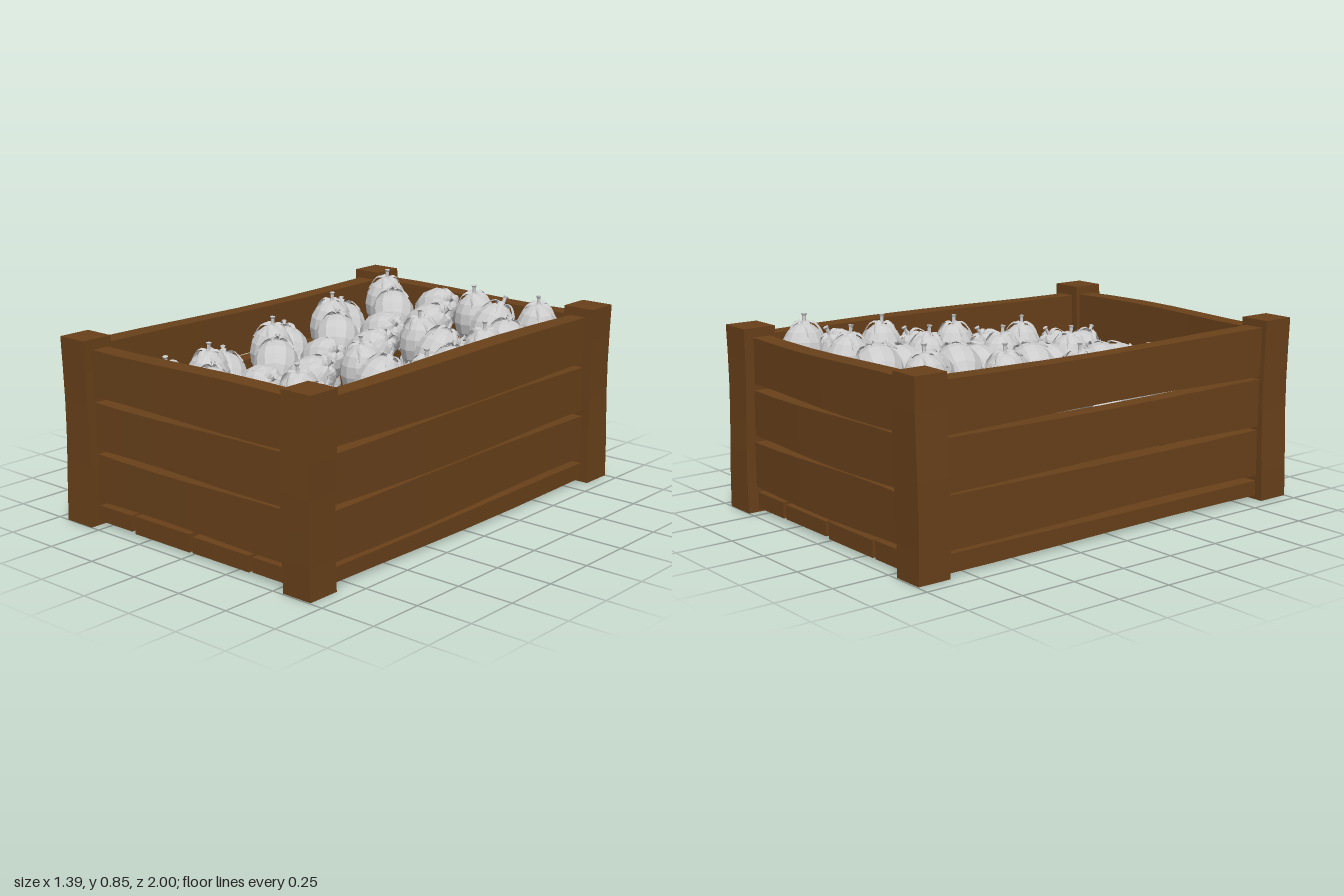
import * as THREE from 'three';
import { mergeGeometries } from 'three/addons/utils/BufferGeometryUtils.js';

const wood = new THREE.MeshStandardMaterial({ color: 0x69411a, flatShading: true });
const skin = new THREE.MeshStandardMaterial({ color: 0xcccccc, flatShading: true });
const leaf = new THREE.MeshStandardMaterial({ color: 0xcccccc, flatShading: true, side: THREE.DoubleSide });

// Rough-sawn board: a box whose cross-section swells and sways along its longest axis
function board(name, size, pos, seed, wobble = 0.006) {
  const axis = size.indexOf(Math.max(...size));
  const segs = [1, 1, 1];
  segs[axis] = 6;
  const g = new THREE.BoxGeometry(...size, ...segs);
  const p = g.attributes.position;
  for (let i = 0; i < p.count; i++) {
    const v = [p.getX(i), p.getY(i), p.getZ(i)];
    const t = v[axis] / size[axis];
    for (let a = 0; a < 3; a++) {
      if (a === axis) continue;
      const side = Math.sign(v[a]);
      v[a] += wobble * Math.sin(t * 5 + seed * 1.7 + side * (1 + a));
    }
    p.setXYZ(i, ...v);
  }
  const m = new THREE.Mesh(g, wood);
  m.name = name;
  m.position.set(...pos);
  return m;
}

// Fruit body: lobed egg with flat facets
const R = 0.1, H = 0.122;
function bodyGeometry() {
  const pts = [];
  for (let i = 0; i <= 8; i++) {
    const a = -Math.PI / 2 + (Math.PI * i) / 8;
    pts.push(new THREE.Vector2(Math.max(0, R * Math.cos(a)), H * Math.sin(a)));
  }
  return new THREE.LatheGeometry(pts, 13);
}

// Calyx leaves: tapered strips that arch over the top of the fruit
function calyxGeometry() {
  const leaves = [];
  for (let k = 0; k < 5; k++) {
    const g = new THREE.PlaneGeometry(1, 1, 2, 5);
    const p = g.attributes.position;
    for (let i = 0; i < p.count; i++) {
      const t = p.getY(i) + 0.5, s = p.getX(i);
      const r = 0.006 + 0.078 * t;
      const w = 0.032 * Math.sin(Math.PI * (0.2 + 0.78 * t));
      const y = H * Math.sqrt(1 - (r / R) ** 2) + 0.004 + 0.016 * Math.sin(Math.PI * t) - 0.012 * Math.abs(s);
      p.setXYZ(i, r + 0.01 * s * t, y, -s * w);
    }
    g.rotateY((k * Math.PI * 2) / 5 + 0.15 * Math.sin(k * 3));
    leaves.push(g);
  }
  return mergeGeometries(leaves);
}

// Stem: short bent stalk flaring at its cut end
function stemGeometry() {
  const pts = [[0.013, H - 0.01], [0.008, H + 0.012], [0.008, H + 0.03], [0.013, H + 0.04], [0, H + 0.042]];
  return new THREE.LatheGeometry(pts.map(q => new THREE.Vector2(...q)), 6);
}

export function createModel() {
  const model = new THREE.Group();
  const crate = new THREE.Group();
  crate.name = 'crate';
  model.add(crate);

  // Corner posts
  let seed = 0;
  for (const sx of [-1, 1]) for (const sz of [-1, 1])
    crate.add(board('cornerPost', [0.145, 0.8, 0.148], [sx * 0.617, 0.402, sz * 0.922], seed++, 0.004));

  // Three rows of wall planks on each side
  for (const y of [0.212, 0.436, 0.66]) for (const s of [-1, 1]) {
    crate.add(board('endPlank', [1.13, 0.206, 0.085], [0, y, s * 0.913], seed++));
    crate.add(board('sidePlank', [0.085, 0.206, 1.76], [s * 0.615, y, 0], seed++));
  }

  // Floor planks
  for (let i = 0; i < 4; i++)
    crate.add(board('floorPlank', [0.313, 0.07, 1.9], [-0.4995 + 0.333 * i, 0.052, 0], seed++, 0.004));

  // Fruit pile
  const body = bodyGeometry(), calyx = calyxGeometry(), stem = stemGeometry();
  const pile = new THREE.Group();
  pile.name = 'fruitPile';
  model.add(pile);
  const up = new THREE.Vector3(0, 1, 0);
  let turn = 0;
  function fruit(x, y, z, dir, scale = 1) {
    const f = new THREE.Group();
    f.name = 'fruit';
    for (const [name, g, m] of [['fruitBody', body, skin], ['calyx', calyx, leaf], ['stem', stem, skin]]) {
      const mesh = new THREE.Mesh(g, m);
      mesh.name = name;
      f.add(mesh);
    }
    f.position.set(x, y, z);
    f.quaternion.setFromUnitVectors(up, new THREE.Vector3(...dir).normalize());
    f.rotateY(turn += 1.3);
    f.scale.setScalar(scale);
    pile.add(f);
  }

  // One cluster: x, y, z and stem direction; repeated along z, sinking to the front
  const cluster = [
    [-0.41, 0.69, -0.75, [0.05, 1, 0]],
    [-0.25, 0.68, -0.61, [-0.5, 0.7, -0.6]],
    [-0.11, 0.70, -0.76, [0.8, 0.5, 0.25]],
    [0.12, 0.69, -0.755, [0, 1, 0.1]],
    [0.27, 0.68, -0.675, [0.1, 0.8, -0.45]],
    [0.465, 0.69, -0.75, [0.05, 1, 0.05]],
    [-0.03, 0.66, -0.58, [0.7, 0.6, -0.1]],
    [0.42, 0.65, -0.57, [-0.3, 0.6, -0.6]],
    [-0.45, 0.61, -0.50, [-0.5, 0.7, -0.4]],
    [0.09, 0.56, -0.50, [0.4, 0.4, -0.6]],
    [0.26, 0.55, -0.50, [-0.5, 0.5, 0.4]],
    [-0.29, 0.54, -0.46, [0.3, 0.6, 0.5]],
  ];
  for (let k = 0; k < 4; k++) {
    for (const [x, y, z, dir] of cluster) fruit(x, y - 0.045 * k, z + 0.395 * k, dir);
    // Bottom layer
    for (const x of [-0.4, -0.13, 0.14, 0.41])
      fruit(x, 0.42, -0.66 + 0.395 * k + 0.06 * Math.sin(x * 9), [Math.sin(x * 20), 0.5, 0.4]);
  }

  // Front row, leaning outward
  fruit(-0.41, 0.55, 0.66, [0.1, 0.9, 0.2]);
  fruit(-0.11, 0.50, 0.72, [0.1, 0.6, 0.7]);
  fruit(0.11, 0.50, 0.73, [-0.7, 0.5, -0.2]);
  fruit(0.41, 0.50, 0.75, [0.1, 0.7, 0.5]);
  return model;
}
